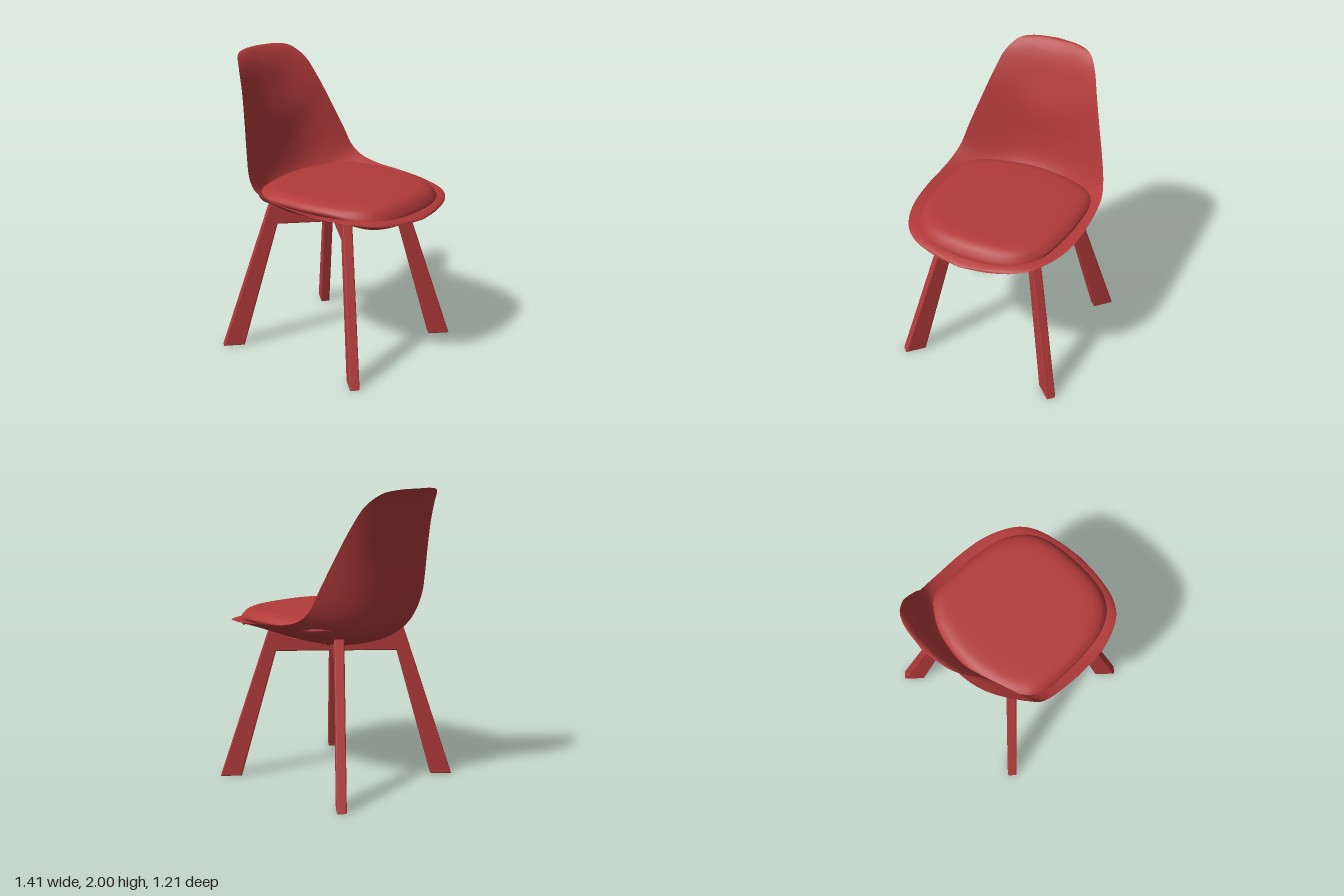
import * as THREE from 'three';

const red = new THREE.MeshStandardMaterial({ color: 0xb23a3a, side: THREE.DoubleSide });
red.name = 'red';

// Paired stations from front lip to top of back: spine x, y, then rim x, y, half width
const STATIONS = [
  [0.705, 1.035, 0.705, 1.035, 0], [0.69, 1.037, 0.68, 1.045, 0.2],
  [0.64, 1.045, 0.62, 1.065, 0.38], [0.52, 1.045, 0.53, 1.085, 0.48],
  [0.32, 1.01, 0.33, 1.1, 0.565], [0.1, 0.965, 0.1, 1.12, 0.587],
  [-0.1, 0.95, -0.1, 1.14, 0.58], [-0.3, 0.975, -0.23, 1.18, 0.565],
  [-0.41, 1.03, -0.3, 1.25, 0.54], [-0.485, 1.13, -0.35, 1.38, 0.505],
  [-0.525, 1.3, -0.42, 1.57, 0.445], [-0.545, 1.52, -0.5, 1.77, 0.38],
  [-0.595, 1.72, -0.57, 1.9, 0.33], [-0.65, 1.91, -0.645, 1.975, 0.26],
  [-0.69, 1.985, -0.685, 1.995, 0.17], [-0.71, 2, -0.71, 2, 0],
];

// Grid of rows x cols points from a rule, wound so that row x col faces outward
function gridGeometry(rows, cols, point) {
  const pos = [], index = [];
  for (let i = 0; i <= rows; i++)
    for (let j = 0; j <= cols; j++) pos.push(...point(i / rows, j / cols));
  for (let i = 0; i < rows; i++)
    for (let j = 0; j < cols; j++) {
      const a = i * (cols + 1) + j, b = a + cols + 1;
      index.push(a, b, a + 1, b, b + 1, a + 1);
    }
  const geo = new THREE.BufferGeometry();
  geo.setAttribute('position', new THREE.Float32BufferAttribute(pos, 3));
  geo.setIndex(index);
  geo.computeVertexNormals();
  return geo;
}

function addMesh(parent, name, geo) {
  const mesh = new THREE.Mesh(geo, red);
  mesh.name = name;
  parent.add(mesh);
  return mesh;
}

// Bucket shell: curved cross-sections between the spine and the flared rim
function buildShell() {
  const shell = new THREE.Group();
  shell.name = 'seatShell';
  const spine = new THREE.CatmullRomCurve3(STATIONS.map(s => new THREE.Vector3(s[0], s[1], 0)));
  const rim = new THREE.CatmullRomCurve3(STATIONS.map(s => new THREE.Vector3(s[2], s[3], s[4])));
  const rows = 75, cols = 40;
  const outer = gridGeometry(rows, cols, (t, v) => {
    const side = Math.sin((v - 0.5) * Math.PI);
    const a = spine.getPoint(t), b = rim.getPoint(t);
    const p = a.lerp(b, Math.pow(Math.abs(side), 2.4));
    return [p.x, p.y, Math.max(b.z, 0) * side];
  });
  // Inner skin, thickest at the middle and meeting the outer skin at the rim
  const inner = outer.clone();
  const pos = inner.attributes.position, nor = outer.attributes.normal;
  for (let k = 0; k < pos.count; k++) {
    const t = Math.floor(k / (cols + 1)) / rows;
    const side = Math.sin(((k % (cols + 1)) / cols - 0.5) * Math.PI);
    const d = 0.03 * (1 - Math.pow(Math.abs(side), 6)) * Math.min(1, 6 * t, 6 * (1 - t));
    pos.setXYZ(k, pos.getX(k) + nor.getX(k) * d, pos.getY(k) + nor.getY(k) * d,
      pos.getZ(k) + nor.getZ(k) * d);
  }
  inner.computeVertexNormals();
  addMesh(shell, 'shellOuter', outer);
  addMesh(shell, 'shellInner', inner);
  return shell;
}

// Seat pad: a closed outline shrunk ring by ring toward a nearly flat top
function buildCushion() {
  const half = [[-0.38, 0.3], [-0.31, 0.44], [-0.25, 0.49], [0, 0.513], [0.2, 0.507],
    [0.4, 0.47], [0.55, 0.38], [0.62, 0.25]];
  const outline = new THREE.CatmullRomCurve3([
    [-0.43, 0], ...half, [0.645, 0], ...half.slice().reverse().map(([x, z]) => [x, -z]),
  ].map(([x, z]) => new THREE.Vector3(x, 0, z)), true);
  // Ring scale and height fraction between seam and top
  const rings = new THREE.CatmullRomCurve3([[0.97, -0.4], [1, 0.05], [0.97, 0.45], [0.91, 0.78],
    [0.82, 0.95], [0.6, 1], [0.3, 1], [0, 1]].map(([s, h]) => new THREE.Vector3(s, h, 0)));
  return gridGeometry(28, 96, (r, u) => {
    const p = outline.getPoint(u), ring = rings.getPoint(r);
    const seam = 1.11 - 0.05 * THREE.MathUtils.smoothstep(p.x, 0.3, 0.65);
    return [0.1 + (p.x - 0.1) * ring.x, seam + ring.y * (1.168 - seam), p.z * ring.x];
  });
}

// Trestle: two splayed legs and their cross beam cut from one board
function buildTrestle() {
  const bevel = 0.008, w = 0.065;
  const right = [[0.41, 0.88], [0.655, 0], [0.8, 0], [0.455, 1.04], [0.335, 1.04], [0.29, 0.97]];
  const left = right.slice().reverse().map(([x, y]) => [-x, y]);
  const shape = new THREE.Shape([...right, ...left].map(([x, y]) => new THREE.Vector2(x, y)));
  const geo = new THREE.ExtrudeGeometry(shape, {
    depth: w - 2 * bevel, bevelSize: bevel, bevelOffset: -bevel,
    bevelThickness: bevel, bevelSegments: 2,
  });
  return geo.translate(0, 0, -w / 2 + bevel);
}

export function createModel() {
  const chair = new THREE.Group();
  chair.name = 'chair';
  chair.add(buildShell());
  addMesh(chair, 'cushion', buildCushion());

  // Two crossing trestles
  const board = buildTrestle();
  [-43, 47].forEach((deg, i) => {
    addMesh(chair, i ? 'legTrestleB' : 'legTrestleA', board).rotation.y = THREE.MathUtils.degToRad(deg);
  });

  // Small slanted ribs fixing the shell to the cross beams
  const rib = new THREE.BoxGeometry(0.1, 0.025, 0.02).rotateZ(0.6).translate(0.14, 0.965, 0);
  for (let i = 0; i < 12; i++) {
    if (i % 3 === 1) continue;
    addMesh(chair, 'seatRib', rib).rotation.y = (i / 12) * Math.PI * 2 + 0.26;
  }
  return chair;
}
